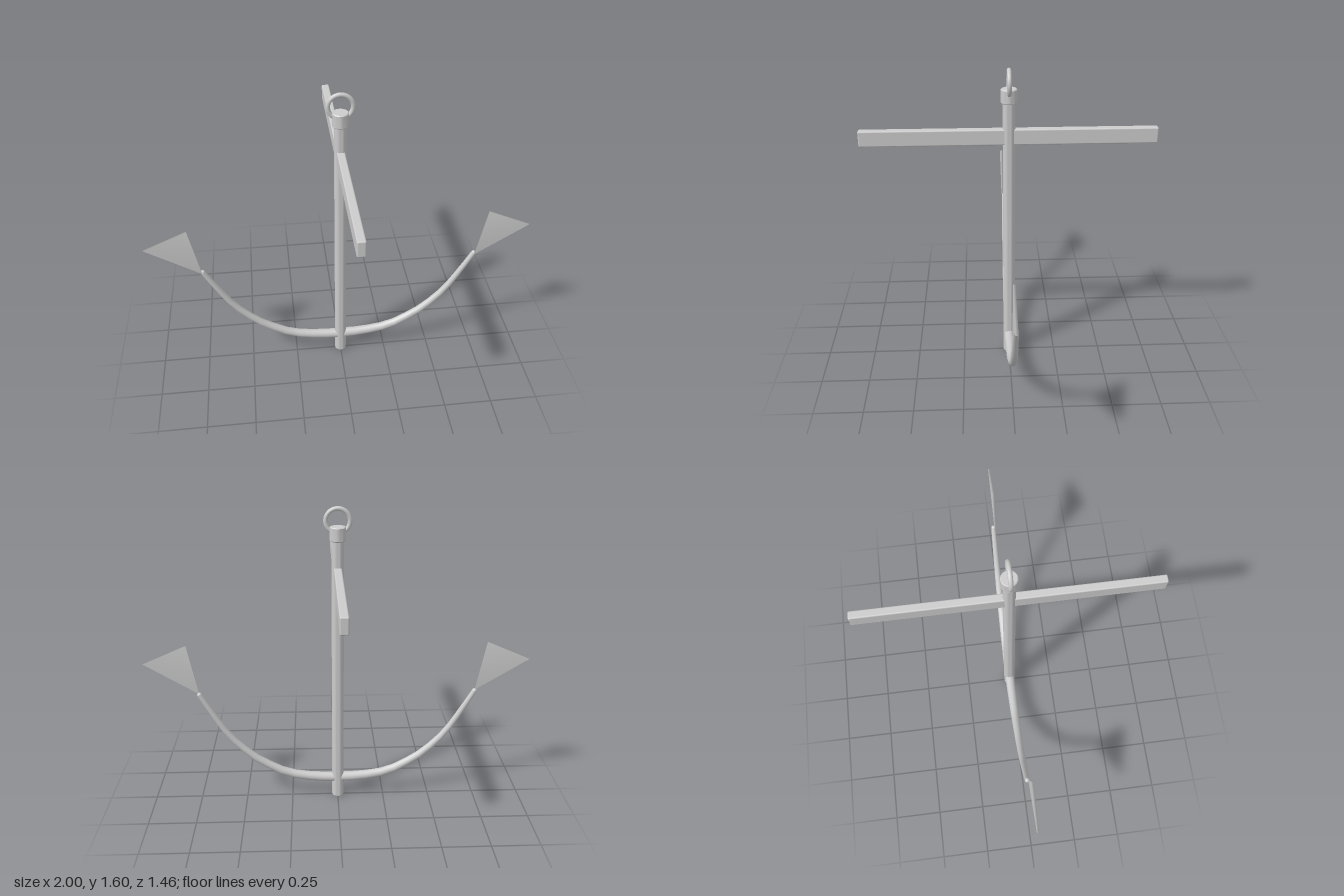
import * as THREE from 'three';
import { toCreasedNormals, mergeVertices } from 'three/addons/utils/BufferGeometryUtils.js';
import { RoundedBoxGeometry } from 'three/addons/geometries/RoundedBoxGeometry.js';

const v2 = (x, y) => new THREE.Vector2(x, y);

// Upright round bar with small chamfers at both ends
function chamferedBar(radius, y0, y1, chamfer) {
  const profile = [
    v2(0, y0), v2(radius - chamfer, y0), v2(radius, y0 + chamfer),
    v2(radius, y1 - chamfer), v2(radius - chamfer, y1), v2(0, y1),
  ];
  return toCreasedNormals(new THREE.LatheGeometry(profile, 24), 0.6);
}

// Curved tube, thick in the middle and thin at both ends
function taperedTube(curve, segments, sides, midRadius, endRadius) {
  const geometry = new THREE.TubeGeometry(curve, segments, 1, sides, false);
  const pos = geometry.attributes.position;
  const p = new THREE.Vector3();
  for (let i = 0; i <= segments; i++) {
    const centre = curve.getPointAt(i / segments);
    const r = THREE.MathUtils.lerp(midRadius, endRadius, Math.abs(2 * i / segments - 1));
    for (let j = 0; j <= sides; j++) {
      const k = i * (sides + 1) + j;
      p.fromBufferAttribute(pos, k).sub(centre).multiplyScalar(r).add(centre);
      pos.setXYZ(k, p.x, p.y, p.z);
    }
  }
  return geometry;
}

// Thin triangular blade with softly shaded corners
function blade(side) {
  const shape = new THREE.Shape([
    v2(side * 0.725, 0.625), v2(side * 1, 0.797), v2(side * 0.775, 0.895),
  ]);
  const geometry = new THREE.ExtrudeGeometry(shape, { depth: 0.011, bevelEnabled: false });
  geometry.translate(0, 0, 0.005);
  geometry.deleteAttribute('normal');
  geometry.deleteAttribute('uv');
  const welded = mergeVertices(geometry);
  welded.computeVertexNormals();
  return welded;
}

export function createModel() {
  const model = new THREE.Group();
  model.name = 'anchor';
  const metal = new THREE.MeshStandardMaterial({ color: 0xcccccc });
  metal.name = 'greyMetal';

  const add = (name, geometry, x = 0, y = 0, z = 0) => {
    const mesh = new THREE.Mesh(geometry, metal);
    mesh.name = name;
    mesh.position.set(x, y, z);
    model.add(mesh);
    return mesh;
  };

  // Shank, collar and ring
  add('shank', chamferedBar(0.031, 0, 1.45, 0.003));
  add('collar', chamferedBar(0.04, 1.432, 1.502, 0.004));
  add('ring', new THREE.TorusGeometry(0.059, 0.011, 12, 32), 0, 1.53, 0);

  // Cross bar running front to back
  add('stock', new RoundedBoxGeometry(0.04, 0.08, 1.46, 2, 0.007), 0, 1.264, 0);

  // Curved arms, mirrored from one half
  const half = [
    [0.722, 0.622], [0.668, 0.525], [0.572, 0.37], [0.449, 0.246],
    [0.369, 0.193], [0.273, 0.144], [0.139, 0.118],
  ];
  const points = [
    ...half.map(([x, y]) => new THREE.Vector3(-x, y, 0)),
    new THREE.Vector3(0, 0.111, 0),
    ...half.map(([x, y]) => new THREE.Vector3(x, y, 0)).reverse(),
  ];
  add('arms', taperedTube(new THREE.CatmullRomCurve3(points), 24, 12, 0.027, 0.013));

  // Flukes and rounded arm ends
  for (const [side, label] of [[1, 'left'], [-1, 'right']]) {
    add(label + 'ArmEnd', new THREE.SphereGeometry(0.013, 12, 8), side * 0.722, 0.622, 0);
    add(label + 'Fluke', blade(side));
  }
  return model;
}
